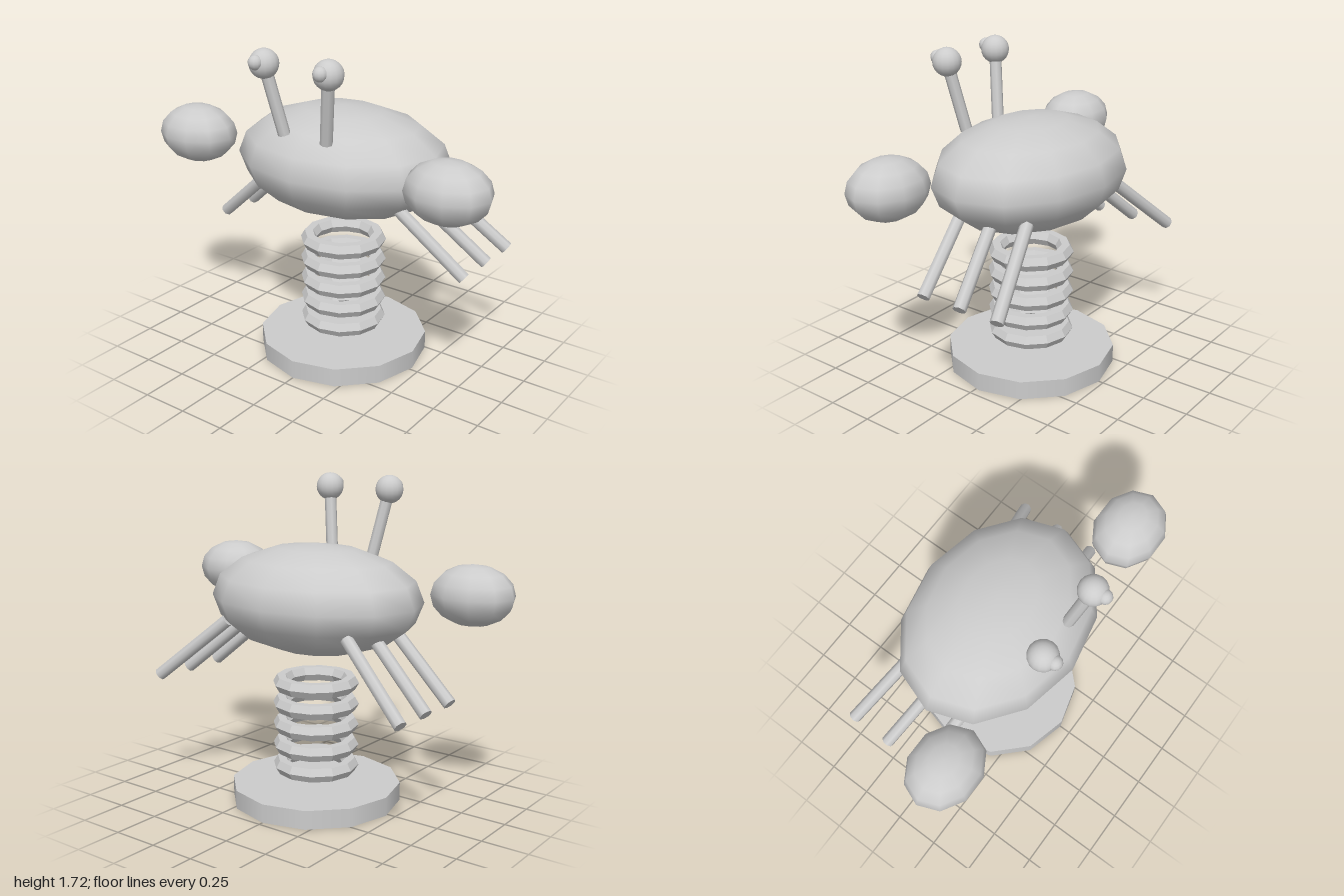
import * as THREE from 'three';

export function createModel() {
  const model = new THREE.Group();
  model.name = 'crabSpringRider';
  const grey = new THREE.MeshStandardMaterial({ color: 0xcccccc });
  grey.name = 'plain grey';
  const greyFlat = grey.clone();
  greyFlat.flatShading = true;
  const zMid = -0.02;

  const add = (name, geometry, x, y, z, material = grey) => {
    const mesh = new THREE.Mesh(geometry, material);
    mesh.name = name;
    mesh.position.set(x, y, z);
    model.add(mesh);
    return mesh;
  };

  const ellipsoid = (rx, ry, rz, around, rings) =>
    new THREE.SphereGeometry(1, around, rings).scale(rx, ry, rz);

  // Straight round bar between two points
  const bar = (name, from, to, radius) => {
    const a = new THREE.Vector3(...from);
    const b = new THREE.Vector3(...to);
    const dir = b.clone().sub(a);
    const mid = a.clone().add(b).multiplyScalar(0.5);
    const mesh = add(name, new THREE.CylinderGeometry(radius, radius, dir.length(), 8), mid.x, mid.y, mid.z);
    mesh.quaternion.setFromUnitVectors(new THREE.Vector3(0, 1, 0), dir.normalize());
  };

  // Ground plate
  add('base', new THREE.CylinderGeometry(0.455, 0.455, 0.1, 12), 0, 0.05, zMid);

  // Spring made of separate faceted rings
  const ring = new THREE.TorusGeometry(0.187, 0.043, 6, 12).rotateX(Math.PI / 2);
  for (let i = 0; i < 5; i++) add('springRing' + (i + 1), ring, 0, 0.194 + i * 0.1135, zMid, greyFlat);

  // Shell
  add('body', ellipsoid(0.6, 0.2875, 0.456, 12, 8), 0, 1.1, zMid);

  // Parts on both sides
  const legs = [[0.11, 0.045], [-0.085, -0.183], [-0.285, -0.408]];
  for (const [side, s] of [['left', 1], ['right', -1]]) {
    add(side + 'Claw', ellipsoid(0.223, 0.155, 0.184, 10, 8), s * 0.777, 1.162, 0.24);

    legs.forEach(([zIn, zOut], i) =>
      bar(side + 'Leg' + (i + 1), [s * 0.385, 0.978, zIn], [s * 0.775, 0.647, zOut], 0.034));

    bar(side + 'EyeStalk', [s * 0.13, 1.285, 0.302], [s * 0.194, 1.648, 0.367], 0.032);
    add(side + 'Eye', new THREE.SphereGeometry(0.075, 16, 12), s * 0.194, 1.648, 0.367);
    add(side + 'Pupil', new THREE.SphereGeometry(0.037, 12, 8), s * 0.194, 1.664, 0.431);
  }
  return model;
}
